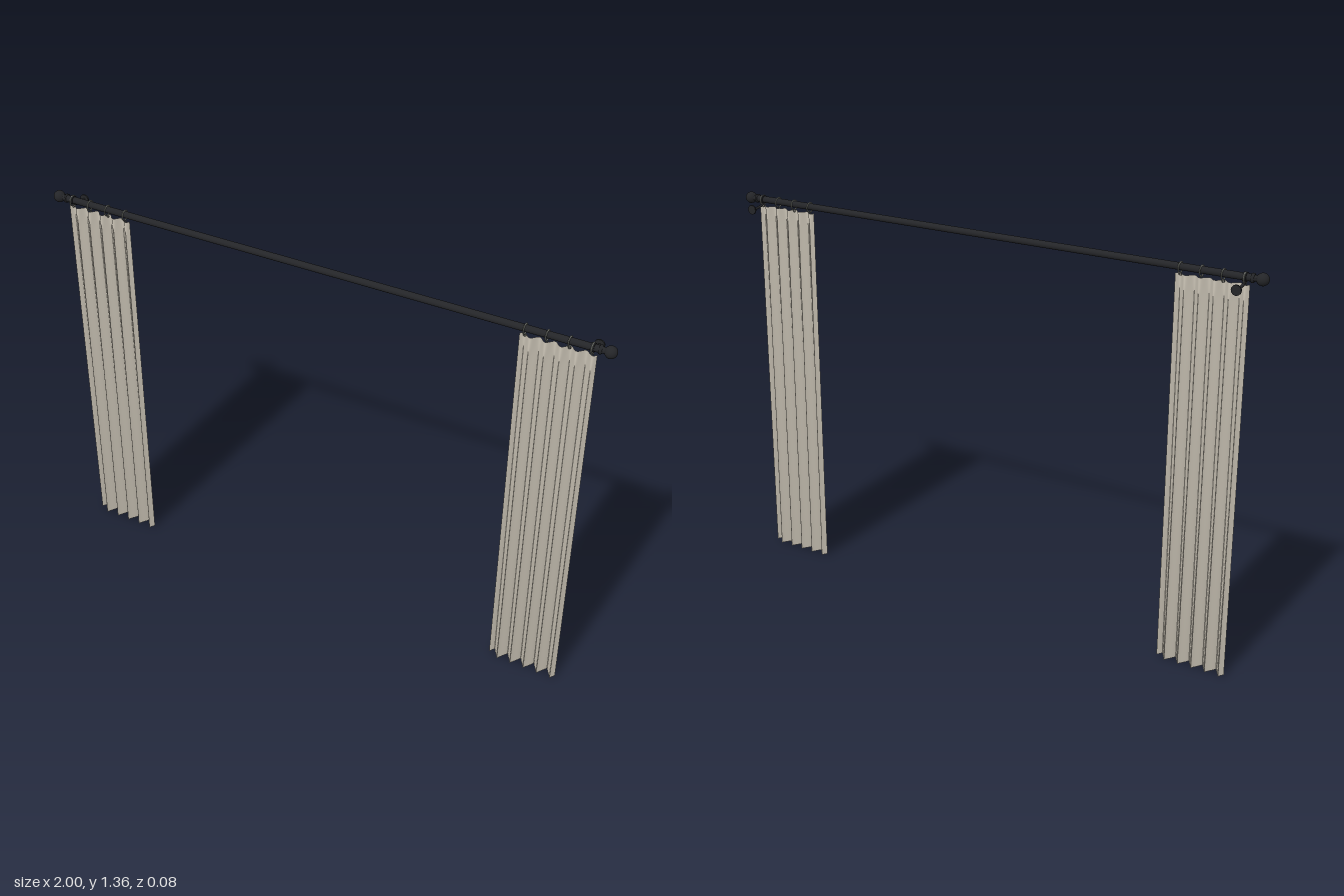
import * as THREE from 'three';

const ROD_Y = 1.341, ROD_Z = 0.023, TOP = 1.318;
const iron = new THREE.MeshStandardMaterial({ color: 0x242528 });
const steel = new THREE.MeshStandardMaterial({ color: 0x777a74 });
const fabric = new THREE.MeshStandardMaterial({ color: 0xcbc4b6, side: THREE.DoubleSide });

function add(parent, name, geometry, material, x = 0, y = 0, z = 0) {
  const mesh = new THREE.Mesh(geometry, material);
  mesh.name = name;
  mesh.position.set(x, y, z);
  parent.add(mesh);
  return mesh;
}

// Pleated sheet: the folds deepen from the gathered heading to the hem
function curtainGeometry(width, pleats) {
  const geo = new THREE.PlaneGeometry(width, TOP, pleats * 20, 40);
  const p = geo.attributes.position;
  for (let i = 0; i < p.count; i++) {
    const u = p.getX(i) / width + 0.5;
    const drop = 0.5 - p.getY(i) / TOP;
    const heading = THREE.MathUtils.smoothstep(drop, 0.01, 0.06);
    const depth = 0.0095 + 0.0025 * heading + 0.0075 * drop;
    const phase = u * pleats * Math.PI * 2;
    p.setX(i, p.getX(i) + 0.003 * heading * Math.sin(phase * 2));
    p.setZ(i, -depth * Math.sin(phase));
  }
  geo.computeVertexNormals();
  return geo;
}

// Ball finial with a collar and neck, turned about the rod axis
function finialGeometry() {
  const pts = [[0.011, -0.034], [0.015, -0.034], [0.015, -0.028], [0.010, -0.026], [0.010, -0.019]]
    .map(([r, h]) => new THREE.Vector2(r, h));
  for (let i = 0; i <= 14; i++) {
    const a = -Math.PI / 3 + (i / 14) * (Math.PI * 5 / 6);
    pts.push(new THREE.Vector2(Math.max(0, 0.02 * Math.cos(a)), 0.02 * Math.sin(a)));
  }
  return new THREE.LatheGeometry(pts, 24);
}

// Wall bracket: cradle under the rod, curved arm, round wall plate
function bracket() {
  const g = new THREE.Group();
  g.name = 'wallBracket';
  const cradle = add(g, 'rodCradle',
    new THREE.CylinderGeometry(0.0145, 0.0145, 0.012, 24, 1), iron, 0, ROD_Y, ROD_Z);
  cradle.rotation.z = Math.PI / 2;
  const path = new THREE.CatmullRomCurve3([
    [0, 1.328, 0.022], [0, 1.321, 0.012], [0, 1.317, -0.004], [0, 1.315, -0.022], [0, 1.315, -0.04],
  ].map(a => new THREE.Vector3(...a)));
  add(g, 'bracketArm', new THREE.TubeGeometry(path, 24, 0.0045, 10), iron);
  const plate = add(g, 'wallPlate',
    new THREE.CylinderGeometry(0.0165, 0.0165, 0.005, 24), iron, 0, 1.315, -0.0395);
  plate.rotation.x = Math.PI / 2;
  return g;
}

export function createModel() {
  const model = new THREE.Group();
  model.name = 'curtainSet';

  const rod = add(model, 'rod', new THREE.CylinderGeometry(0.0115, 0.0115, 1.91, 24), iron, 0, ROD_Y, ROD_Z);
  rod.rotation.z = Math.PI / 2;

  const sheet = curtainGeometry(0.244, 5);
  const finial = finialGeometry();
  const ring = new THREE.TorusGeometry(0.0165, 0.0025, 10, 28);
  const eyelet = new THREE.TorusGeometry(0.004, 0.0014, 8, 16);

  for (const s of [-1, 1]) {
    const end = add(model, 'finial', finial, iron, s * 0.98, ROD_Y, ROD_Z);
    end.rotation.z = -s * Math.PI / 2;

    const b = bracket();
    b.position.x = s * 0.925;
    model.add(b);

    add(model, 'curtain', sheet, fabric, s * 0.819, TOP / 2, ROD_Z);

    // Four rings carry each curtain
    for (let i = 0; i < 4; i++) {
      const x = s * (0.714 + i * 0.0705);
      const r = add(model, 'curtainRing', ring, steel, x, ROD_Y - 0.003, ROD_Z);
      r.rotation.y = Math.PI / 2;
      add(model, 'ringEyelet', eyelet, steel, x, 1.317, ROD_Z);
    }
  }
  return model;
}
